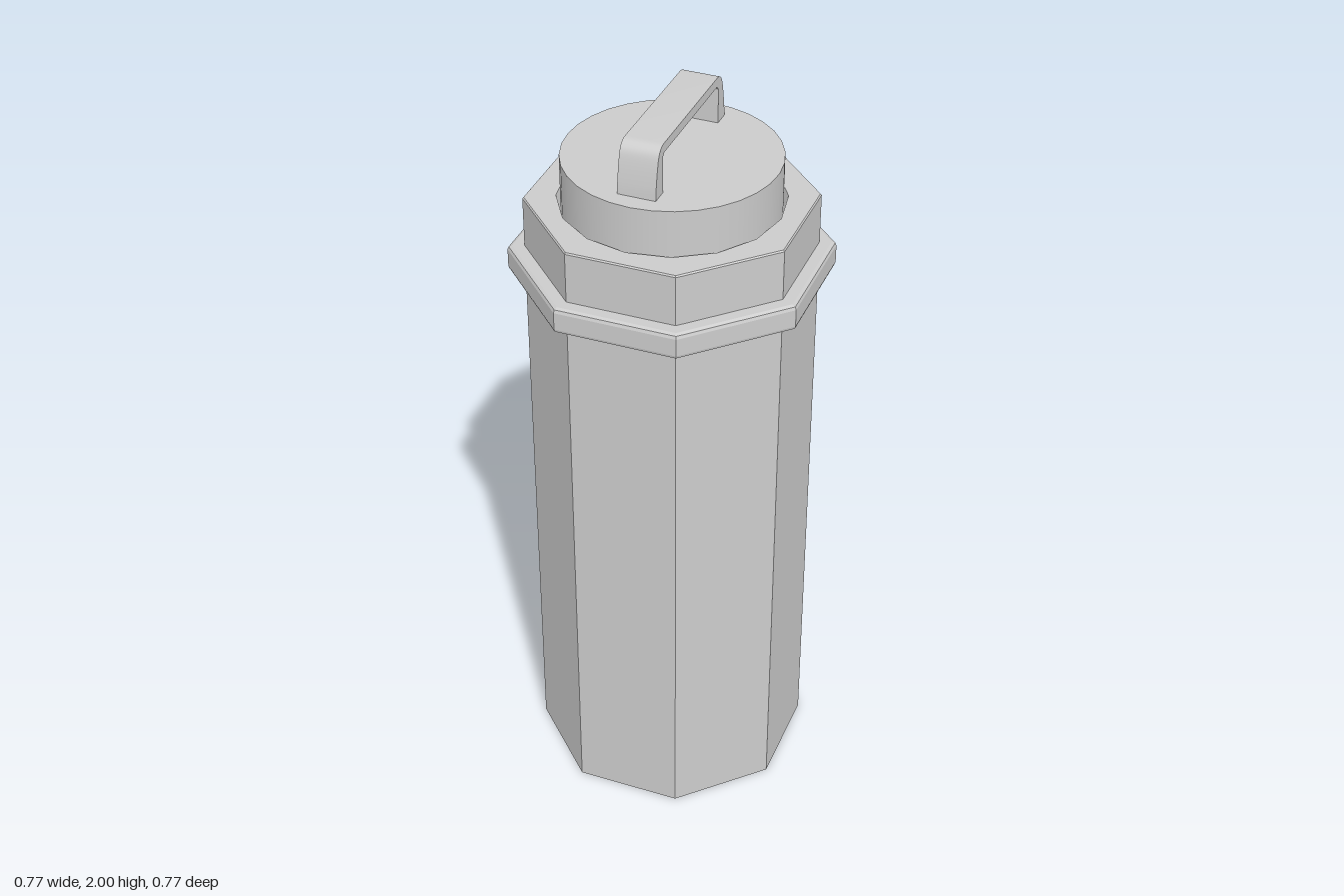
import * as THREE from 'three';
import { toCreasedNormals } from 'three/addons/utils/BufferGeometryUtils.js';

const flat = new THREE.MeshStandardMaterial({ color: 0xcccccc, flatShading: true });
const smooth = new THREE.MeshStandardMaterial({ color: 0xcccccc });

const APOTHEM = 0.345, RIM = 1.75;
const SOCKET_PHASE = -0.028; // the sixteen-sided socket sits slightly turned
const toCorner = 1 / Math.cos(Math.PI / 8);

function add(parent, name, geometry, material) {
  const mesh = new THREE.Mesh(geometry, material);
  mesh.name = name;
  parent.add(mesh);
  return mesh;
}

// Revolve a [radius, y] profile with few sides
function lathe(profile, sides, phase) {
  return new THREE.LatheGeometry(profile.map(([r, y]) => new THREE.Vector2(r, y)), sides, phase);
}

// Octagonal solid whose profile radii are measured to the flat faces
function octagon(profile) {
  return lathe(profile.map(([r, y]) => [r * toCorner, y]), 8, Math.PI / 8);
}

function polygon(radius, sides, phase) {
  return Array.from({ length: sides }, (_, i) => {
    const a = phase + (i / sides) * Math.PI * 2;
    return new THREE.Vector2(Math.sin(a) * radius, -Math.cos(a) * radius);
  });
}

export function createModel() {
  const group = new THREE.Group();
  group.name = 'canister';

  // Octagonal body with a fine bevel at the rim
  add(group, 'body', octagon([[0, 0], [APOTHEM, 0], [APOTHEM, RIM - 0.004], [APOTHEM - 0.003, RIM]]), flat);

  // Flat shoulder around the lid socket
  const shoulder = new THREE.Shape(polygon((APOTHEM - 0.003) * toCorner, 8, Math.PI / 8));
  shoulder.holes.push(new THREE.Path(polygon(0.29, 16, SOCKET_PHASE)));
  add(group, 'shoulder', new THREE.ShapeGeometry(shoulder).rotateX(-Math.PI / 2).translate(0, RIM, 0), flat);

  // Inward-facing wall of the socket
  add(group, 'socketWall', lathe([[0.29, RIM], [0.276, RIM - 0.06], [0, RIM - 0.06]], 16, SOCKET_PHASE), flat);

  // Bevelled collar band
  add(group, 'collar', octagon([
    [0.34, 1.54], [0.378, 1.54], [0.383, 1.543], [0.385, 1.55],
    [0.385, 1.598], [0.382, 1.606], [0.374, 1.61], [0.34, 1.61],
  ]), flat);

  // Round lid
  add(group, 'lid', new THREE.CylinderGeometry(0.279, 0.279, 0.18, 32).translate(0, 1.78, 0), smooth);

  // Arched strap handle running front to back
  const arch = new THREE.Shape();
  arch.moveTo(0.231, 1.86);
  arch.lineTo(0.229, 1.89);
  arch.quadraticCurveTo(0.222, 1.94, 0.213, 1.97);
  arch.quadraticCurveTo(0.204, 2, 0.175, 2);
  arch.lineTo(-0.175, 2);
  arch.quadraticCurveTo(-0.204, 2, -0.213, 1.97);
  arch.quadraticCurveTo(-0.222, 1.94, -0.229, 1.89);
  arch.lineTo(-0.231, 1.86);
  arch.lineTo(-0.185, 1.86);
  arch.lineTo(-0.185, 1.965);
  arch.lineTo(-0.175, 1.975);
  arch.lineTo(0.175, 1.975);
  arch.lineTo(0.185, 1.965);
  arch.lineTo(0.185, 1.86);
  const strap = new THREE.ExtrudeGeometry(arch, { depth: 0.1, bevelEnabled: false, curveSegments: 6 });
  strap.translate(0, 0, -0.05).rotateY(-Math.PI / 2 - 0.01);
  add(group, 'handle', toCreasedNormals(strap, 0.6), smooth);

  return group;
}
